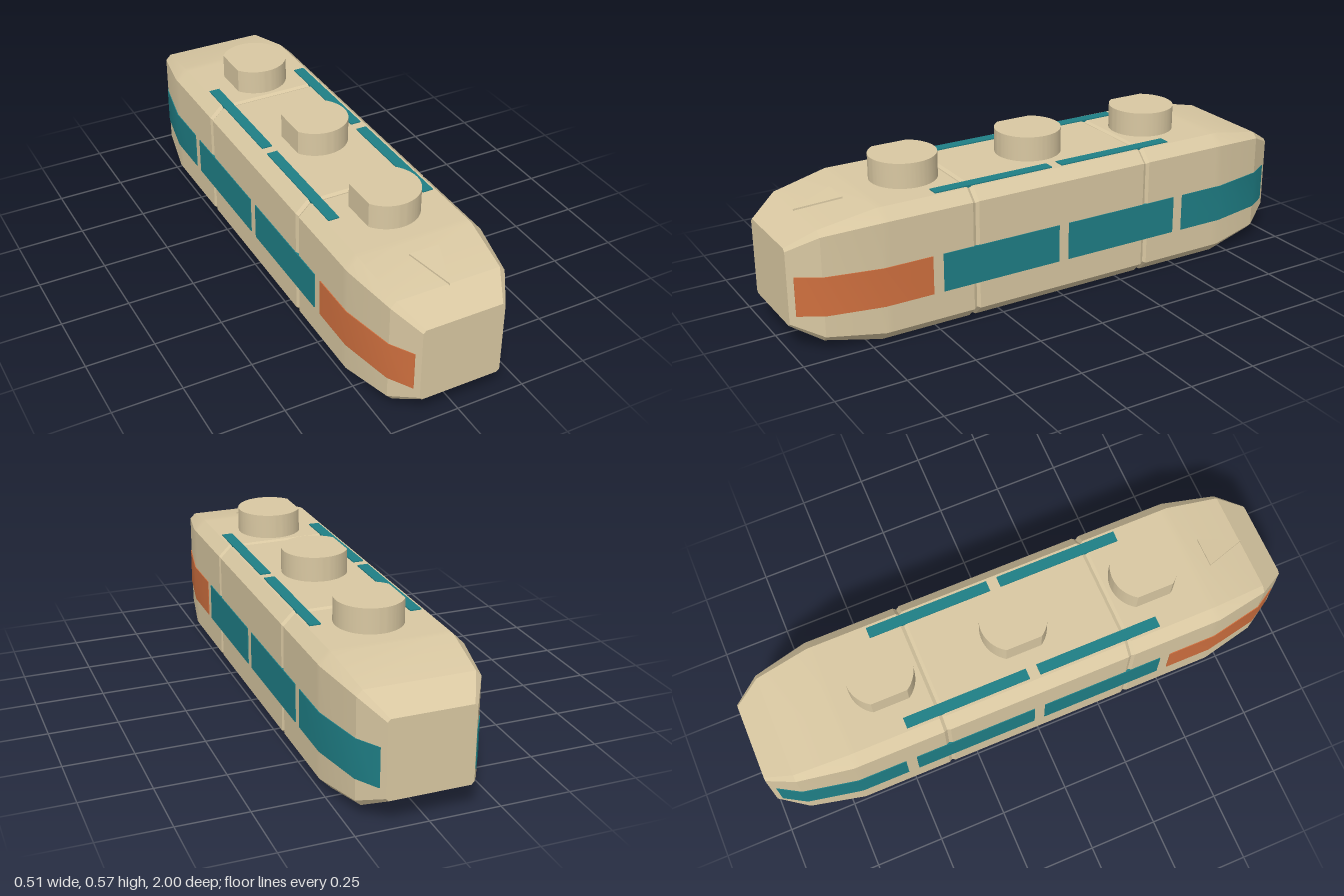
import * as THREE from 'three';
import { toCreasedNormals } from 'three/addons/utils/BufferGeometryUtils.js';

const TAN = new THREE.MeshStandardMaterial({ color: 0xd9c8a2 });
const TEAL = new THREE.MeshStandardMaterial({ color: 0x1f7f86 });
const ORANGE = new THREE.MeshStandardMaterial({ color: 0xd0703f });

const PEG_Z = [-0.5, 0, 0.5];
const SOCKET_DEPTH = 0.1;

// Cross-sections from the middle to one end: [z, half width, bottom, top, chamfer]
const HALF = [
  [0.34, 0.25, 0, 0.48, 0.04],
  [0.352, 0.244, 0.006, 0.474, 0.04], // seam groove
  [0.364, 0.25, 0, 0.48, 0.04],
  [0.67, 0.25, 0, 0.48, 0.04],
  [0.7, 0.25, 0, 0.48, 0.04],
  [0.9, 0.21, 0.042, 0.44, 0.02],
  [1, 0.15, 0.1, 0.38, 0.01],
];

function octagon([z, w, b, t, c]) {
  return [[c - w, b], [w - c, b], [w, b + c], [w, t - c], [w - c, t], [c - w, t], [-w, t - c], [-w, b + c]]
    .map(([x, y]) => [x, y, z]);
}

// Chamfered hull; the flat underside is left open for the socket plates
function hullGeometry() {
  const mirrored = HALF.map(([z, ...rest]) => [-z, ...rest]).reverse();
  const stations = [...mirrored, ...HALF];
  const rings = stations.map(octagon);
  const pos = [];
  const tri = (a, b, c) => pos.push(...a, ...b, ...c);
  for (let i = 0; i < rings.length - 1; i++) {
    const flatBottom = stations[i][2] === 0 && stations[i + 1][2] === 0;
    for (let j = flatBottom ? 1 : 0; j < 8; j++) {
      const k = (j + 1) % 8;
      tri(rings[i][j], rings[i][k], rings[i + 1][k]);
      tri(rings[i][j], rings[i + 1][k], rings[i + 1][j]);
    }
  }
  const back = rings[0], front = rings[rings.length - 1];
  for (let j = 1; j < 7; j++) {
    tri(front[0], front[j], front[j + 1]);
    tri(back[0], back[j + 1], back[j]);
  }
  const g = new THREE.BufferGeometry();
  g.setAttribute('position', new THREE.Float32BufferAttribute(pos, 3));
  return toCreasedNormals(g, 0.26);
}

// Round outline with one flat on the -x side, drawn in x and z
function dShape(z, Type = THREE.Shape) {
  const a = Math.acos(-0.1 / 0.12);
  const s = new Type();
  s.absarc(0, z, 0.12, -a, a, false);
  s.closePath();
  return s;
}

function polygon(points) {
  return new THREE.Shape(points.map(([x, z]) => new THREE.Vector2(x, z)));
}

// Extrude an x-z outline between two heights
function slab(shape, y0, y1) {
  const g = new THREE.ExtrudeGeometry(shape, { depth: y1 - y0, bevelEnabled: false, curveSegments: 48 });
  g.rotateX(Math.PI / 2).translate(0, y1, 0);
  return toCreasedNormals(g, 0.4);
}

// Half width of the hull's side wall at a given z
function sideX(z) {
  const a = Math.abs(z);
  if (a <= 0.7) return 0.25;
  return a <= 0.9 ? 0.25 - 0.2 * (a - 0.7) : 0.21 - 0.6 * (a - 0.9);
}

export function createModel() {
  const model = new THREE.Group();
  model.name = 'connectorBlock';
  const add = (name, geometry, material) => {
    const mesh = new THREE.Mesh(geometry, material);
    mesh.name = name;
    model.add(mesh);
    return mesh;
  };

  add('hull', hullGeometry(), TAN);

  // Pegs on top, matching sockets underneath
  const plates = [[-0.7, -0.364], [-0.34, 0.34], [0.364, 0.7]];
  PEG_Z.forEach((z, i) => {
    add('peg', slab(dShape(z), 0.47, 0.57), TAN);
    const [z0, z1] = plates[i];
    const plate = polygon([[-0.21, z0], [0.21, z0], [0.21, z1], [-0.21, z1]]);
    plate.holes.push(dShape(z, THREE.Path));
    add('socketPlate', slab(plate, 0, SOCKET_DEPTH), TAN);
    const ceiling = new THREE.ShapeGeometry(dShape(z), 48);
    ceiling.rotateX(Math.PI / 2).translate(0, SOCKET_DEPTH, 0);
    add('socketCeiling', ceiling, TAN);
  });

  for (const side of [-1, 1]) {
    // Side panels that follow the hull's taper
    for (const mid of [-0.75, -0.25, 0.25, 0.75]) {
      const z0 = mid - 0.23, z1 = mid + 0.23;
      const zs = [z0, ...[-0.9, -0.7, 0.7, 0.9].filter((z) => z > z0 && z < z1), z1];
      const outer = zs.map((z) => [side * (sideX(z) + 0.003), z]);
      const inner = zs.map((z) => [side * (sideX(z) - 0.01), z]).reverse();
      add('sidePanel', slab(polygon([...outer, ...inner]), 0.14, 0.28), mid === 0.75 ? ORANGE : TEAL);
    }
    // Narrow strips on the roof
    for (const z of [-0.25, 0.25]) {
      const strip = new THREE.BoxGeometry(0.04, 0.014, 0.46);
      add('roofStrip', strip.translate(side * 0.18, 0.477, z), TEAL);
    }
  }

  // Raised arrow on the sloping front of the roof
  const arrow = slab(polygon([[-0.055, 0.75], [0.055, 0.75], [0, 0.905]]), -0.01, 0.006);
  const p = arrow.attributes.position;
  for (let i = 0; i < p.count; i++) p.setY(i, p.getY(i) + 0.48 - 0.2 * (p.getZ(i) - 0.7));
  arrow.computeVertexNormals();
  add('directionArrow', arrow, TAN);

  return model;
}
